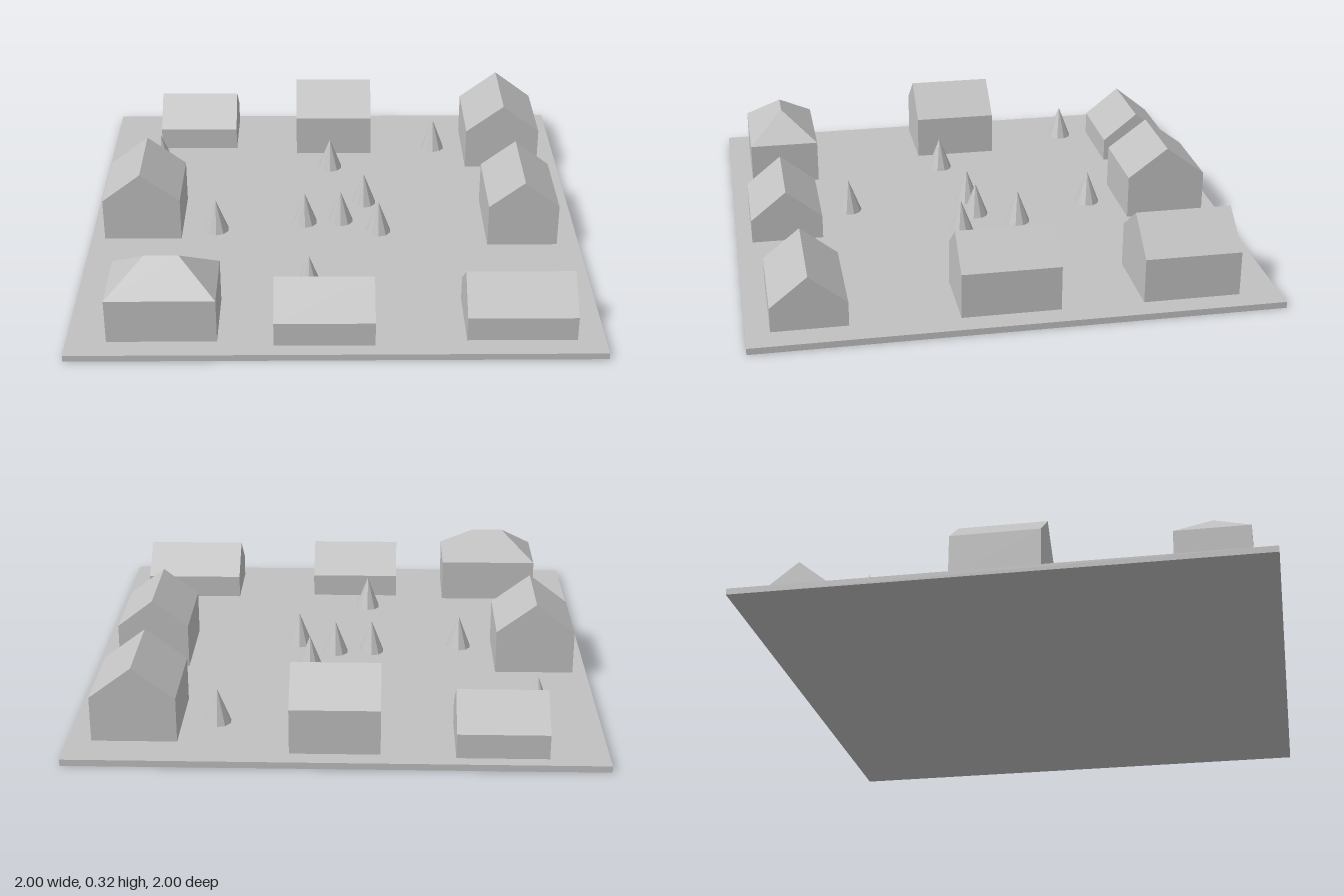
import * as THREE from 'three';

const GROUND_TOP = 0.025;

// House body with its ridge along local x; inset > 0 slopes the ends into a hip roof.
function houseGeometry(length, width, eave, ridge, inset) {
  const l = length / 2, w = width / 2, r = l - inset;
  const points = [
    [-l, 0, w], [l, 0, w], [l, 0, -w], [-l, 0, -w],
    [-l, eave, w], [l, eave, w], [l, eave, -w], [-l, eave, -w],
    [-r, ridge, 0], [r, ridge, 0],
  ];
  const faces = [
    [0, 1, 5, 4], [1, 2, 6, 5], [2, 3, 7, 6], [3, 0, 4, 7], // walls
    [4, 5, 9, 8], [6, 7, 8, 9], // roof slopes
    [5, 6, 9], [7, 4, 8], // gables or hips
    [3, 2, 1, 0], // floor
  ];
  const positions = [];
  for (const f of faces) {
    for (let i = 1; i < f.length - 1; i++) {
      positions.push(...points[f[0]], ...points[f[i]], ...points[f[i + 1]]);
    }
  }
  const geometry = new THREE.BufferGeometry();
  geometry.setAttribute('position', new THREE.Float32BufferAttribute(positions, 3));
  geometry.computeVertexNormals();
  return geometry;
}

export function createModel() {
  const model = new THREE.Group();
  model.name = 'village';
  const plaster = new THREE.MeshStandardMaterial({ color: 0xc0c0c0, flatShading: true });
  plaster.name = 'modelGrey';

  // Ground slab
  const ground = new THREE.Mesh(new THREE.BoxGeometry(2, GROUND_TOP, 2), plaster);
  ground.name = 'ground';
  ground.position.y = GROUND_TOP / 2;
  model.add(ground);

  // Houses: x range, z range, eave and ridge heights, ridge axis, hip inset
  const houses = [
    { x: [-0.78, -0.44], z: [-0.95, -0.665], eave: 0.12, ridge: 0.235, axis: 'x' },
    { x: [-0.165, 0.17], z: [-0.93, -0.61], eave: 0.2, ridge: 0.32, axis: 'x' },
    { x: [0.59, 0.91], z: [-0.845, -0.475], eave: 0.2, ridge: 0.32, axis: 'z' },
    { x: [-0.945, -0.63], z: [-0.185, 0.155], eave: 0.2, ridge: 0.32, axis: 'z' },
    { x: [0.625, 0.91], z: [-0.16, 0.215], eave: 0.2, ridge: 0.31, axis: 'z' },
    { x: [-0.85, -0.44], z: [0.625, 0.91], eave: 0.2, ridge: 0.31, axis: 'x', inset: 0.14 },
    { x: [-0.23, 0.145], z: [0.655, 0.94], eave: 0.12, ridge: 0.235, axis: 'x' },
    { x: [0.485, 0.895], z: [0.625, 0.91], eave: 0.12, ridge: 0.235, axis: 'x' },
  ];
  houses.forEach(({ x, z, eave, ridge, axis, inset = 0 }, i) => {
    const sx = x[1] - x[0], sz = z[1] - z[0];
    const [length, width] = axis === 'x' ? [sx, sz] : [sz, sx];
    const geometry = houseGeometry(length, width, eave - GROUND_TOP, ridge - GROUND_TOP, inset);
    const house = new THREE.Mesh(geometry, plaster);
    house.name = `house${i + 1}`;
    house.position.set((x[0] + x[1]) / 2, GROUND_TOP, (z[0] + z[1]) / 2);
    if (axis === 'z') house.rotation.y = Math.PI / 2;
    model.add(house);
  });

  // Cone trees
  const treeHeight = 0.135;
  const treeGeometry = new THREE.ConeGeometry(0.052, treeHeight, 10);
  const trees = [
    [-0.77, -0.53], [0.455, -0.67], [-0.015, -0.48], [0.127, -0.15], [-0.123, 0.02],
    [0.027, 0.008], [0.182, 0.095], [-0.49, 0.08], [-0.102, 0.525],
  ];
  trees.forEach(([x, z], i) => {
    const tree = new THREE.Mesh(treeGeometry, plaster);
    tree.name = `tree${i + 1}`;
    tree.position.set(x, GROUND_TOP + treeHeight / 2, z);
    model.add(tree);
  });

  return model;
}
